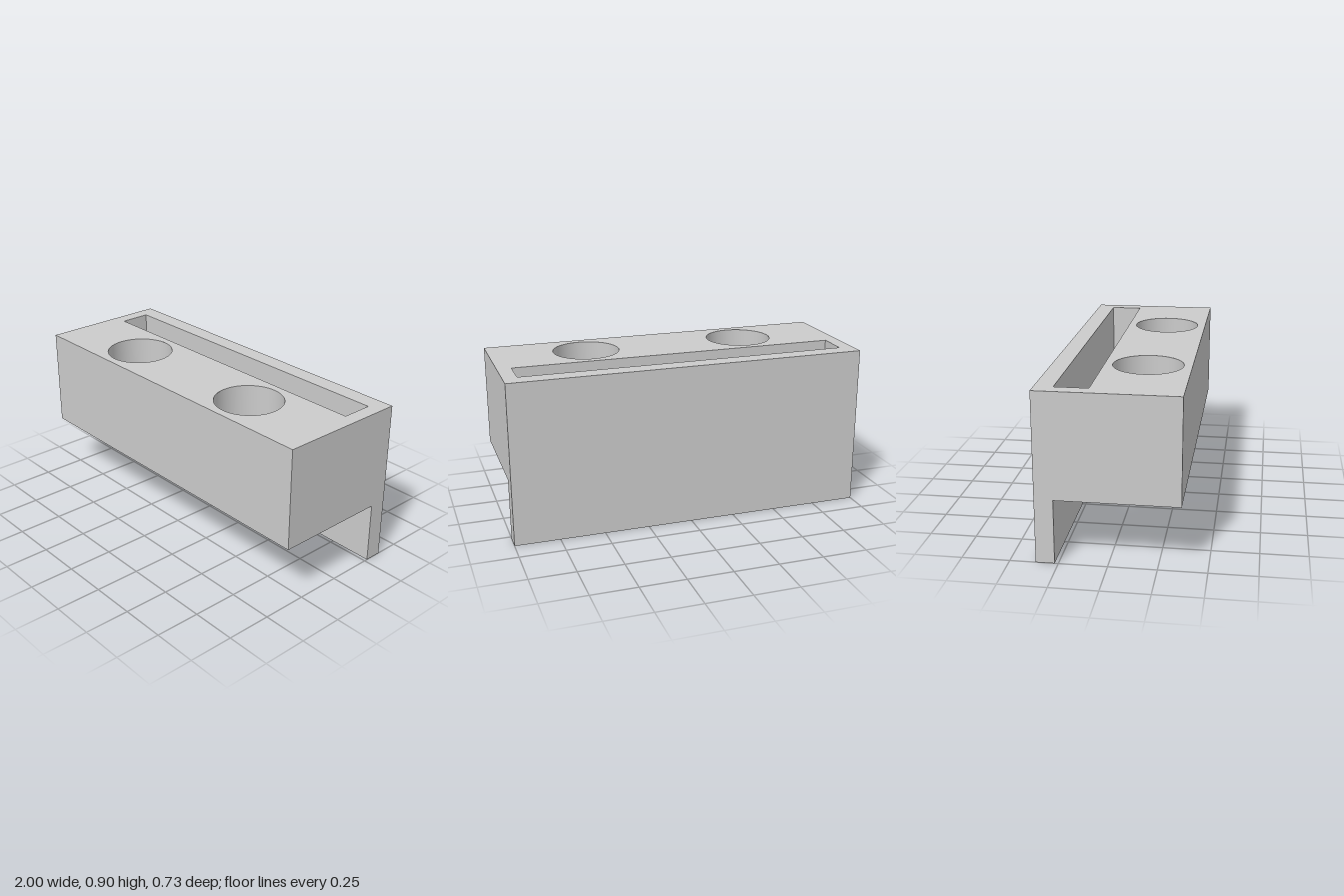
import * as THREE from 'three';

const TOP = 0.902, LEDGE = 0.342;          // top and underside heights of the block
const FRONT = 0.366, BACK = -0.366;        // depth limits
const SLOT = { x: 0.922, back: -0.269, front: -0.094 };
const HOLE = { x: 0.461, z: 0.135, r: 0.186, segments: 64 };

const material = new THREE.MeshStandardMaterial({ color: 0xcccccc });

// Turns a geometry inside out, for the walls of openings
function inward(geometry) {
  const g = geometry.index ? geometry.toNonIndexed() : geometry;
  g.clearGroups();
  g.scale(-1, 1, 1);                       // mirror: also flips x of the normals
  const n = g.attributes.normal;
  for (let i = 0; i < n.count; i++) n.setXYZ(i, -n.getX(i), -n.getY(i), -n.getZ(i));
  return g;
}

// Keeps the triangles whose shared normal and first corner pass the test
function keepFaces(geometry, test) {
  const g = geometry.index ? geometry.toNonIndexed() : geometry;
  const p = g.attributes.position, n = g.attributes.normal, pos = [], nor = [];
  for (let i = 0; i < p.count; i += 3) {
    if (!test(n.getY(i), p.getY(i))) continue;
    for (let k = i; k < i + 3; k++) {
      pos.push(p.getX(k), p.getY(k), p.getZ(k));
      nor.push(n.getX(k), n.getY(k), n.getZ(k));
    }
  }
  const out = new THREE.BufferGeometry();
  out.setAttribute('position', new THREE.Float32BufferAttribute(pos, 3));
  out.setAttribute('normal', new THREE.Float32BufferAttribute(nor, 3));
  return out;
}

const outline = (points) => points.map(([x, y]) => new THREE.Vector2(x, y));

// Horizontal face with the two round holes; facing is +1 for up, -1 for down
function plate(points, facing, y, cutSlot) {
  const flat = (list) => outline(list.map(([x, z]) => [x, -facing * z]));
  const shape = new THREE.Shape(flat(points));
  for (const s of [-1, 1]) {
    const circle = new THREE.Path();
    circle.absarc(s * HOLE.x, -facing * HOLE.z, HOLE.r, 0, Math.PI * 2);
    shape.holes.push(circle);
  }
  if (cutSlot) {
    const { x, back, front } = SLOT;
    shape.holes.push(new THREE.Path(flat([[-x, back], [x, back], [x, front], [-x, front]])));
  }
  return new THREE.ShapeGeometry(shape, HOLE.segments)
    .rotateX(-facing * Math.PI / 2).translate(0, y, 0);
}

export function createModel() {
  const group = new THREE.Group();
  group.name = 'wallHolder';
  const add = (name, geometry) => {
    const mesh = new THREE.Mesh(geometry, material);
    mesh.name = name;
    group.add(mesh);
  };

  // Outer walls: L-shaped end profile run along x, without the pierced faces
  const profile = new THREE.Shape(outline([
    [-FRONT, LEDGE], [-SLOT.back, LEDGE], [-SLOT.back, 0],
    [-BACK, 0], [-BACK, TOP], [-FRONT, TOP],
  ]));
  const body = new THREE.ExtrudeGeometry(profile, { depth: 2, bevelEnabled: false })
    .translate(0, 0, -1).rotateY(Math.PI / 2);
  add('bodyAndBackPlate', keepFaces(body, (ny, y) => Math.abs(ny) < 0.9 || (ny < 0 && y < 0.1)));

  // Pierced top, and underside whose slot opens against the back plate
  add('topFace', plate([[-1, BACK], [1, BACK], [1, FRONT], [-1, FRONT]], 1, TOP, true));
  add('underside', plate([
    [-1, SLOT.back], [-SLOT.x, SLOT.back], [-SLOT.x, SLOT.front], [SLOT.x, SLOT.front],
    [SLOT.x, SLOT.back], [1, SLOT.back], [1, FRONT], [-1, FRONT],
  ], -1, LEDGE, false));

  // Walls of the through slot
  const height = TOP - LEDGE, middle = (TOP + LEDGE) / 2;
  const slot = new THREE.BoxGeometry(2 * SLOT.x, height, SLOT.front - SLOT.back);
  add('slotWalls', inward(keepFaces(slot, (ny) => Math.abs(ny) < 0.9))
    .translate(0, middle, (SLOT.front + SLOT.back) / 2));

  // Walls of the two round through holes
  for (const s of [-1, 1]) {
    const bore = new THREE.CylinderGeometry(HOLE.r, HOLE.r, height, HOLE.segments, 1, true);
    add(s > 0 ? 'leftHoleWall' : 'rightHoleWall',
      inward(bore).translate(s * HOLE.x, middle, HOLE.z));
  }
  return group;
}
